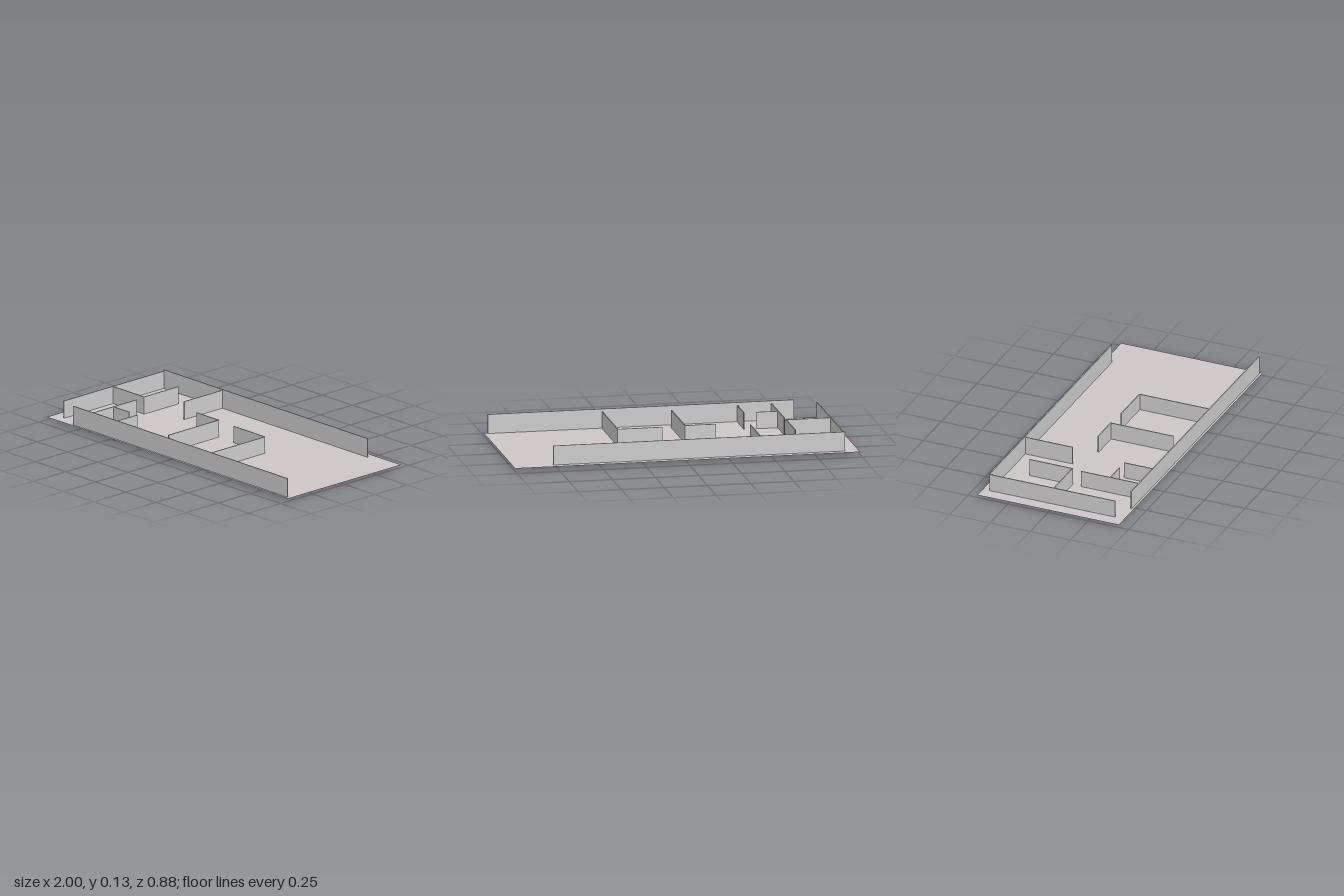
import * as THREE from 'three';

const THICKNESS = 0.006;
const HEIGHT = 0.112;

export function createModel() {
  const model = new THREE.Group();
  model.name = 'floorPlan';
  const wallMaterial = new THREE.MeshStandardMaterial({ color: 0xcccccc });

  // Straight wall between two plan points, running along x or z
  const addWall = (name, x1, z1, x2, z2, base) => {
    const geometry = new THREE.BoxGeometry(
      Math.max(Math.abs(x2 - x1), THICKNESS), HEIGHT, Math.max(Math.abs(z2 - z1), THICKNESS));
    const wall = new THREE.Mesh(geometry, wallMaterial);
    wall.name = name;
    wall.position.set((x1 + x2) / 2, base + HEIGHT / 2, (z1 + z2) / 2);
    model.add(wall);
  };

  // Thin floor sheet, seen from both sides
  const floor = new THREE.Mesh(
    new THREE.PlaneGeometry(2, 0.88).rotateX(-Math.PI / 2),
    new THREE.MeshStandardMaterial({ color: 0xccc7c6, side: THREE.DoubleSide }));
  floor.name = 'floor';
  floor.position.y = 0.018;
  model.add(floor);

  // Outer walls
  addWall('frontWall', -0.795, 0.425, 0.98, 0.425, 0.019);
  addWall('backWall', -0.92, -0.396, 0.77, -0.396, 0.018);
  addWall('endWall', -0.92, -0.394, -0.92, 0.383, 0.009);

  // Partitions, set slightly through the floor
  const partitions = [
    ['backRoomDivider', -0.435, -0.394, -0.435, -0.098, 0.013],
    ['cornerRoomFront', -0.92, -0.001, -0.662, -0.001, 0.008],
    ['cornerRoomSide', -0.662, -0.266, -0.662, 0.002, 0.009],
    ['frontRoomSide', -0.664, 0.055, -0.664, 0.422, 0.004],
    ['frontRoomReturn', -0.664, 0.236, -0.535, 0.236, 0.003],
    ['frontRoomDivider', -0.467, 0.236, -0.467, 0.422, 0.002],
    ['middleRoomBack', -0.25, -0.025, -0.072, -0.025, 0.009],
    ['middleRoomSide', -0.072, -0.025, -0.072, 0.365, 0.008],
    ['largeRoomBack', 0.06, -0.02, 0.317, -0.02, 0.005],
    ['largeRoomSide', 0.317, -0.02, 0.317, 0.422, 0.004],
  ];
  for (const partition of partitions) addWall(...partition);

  return model;
}
